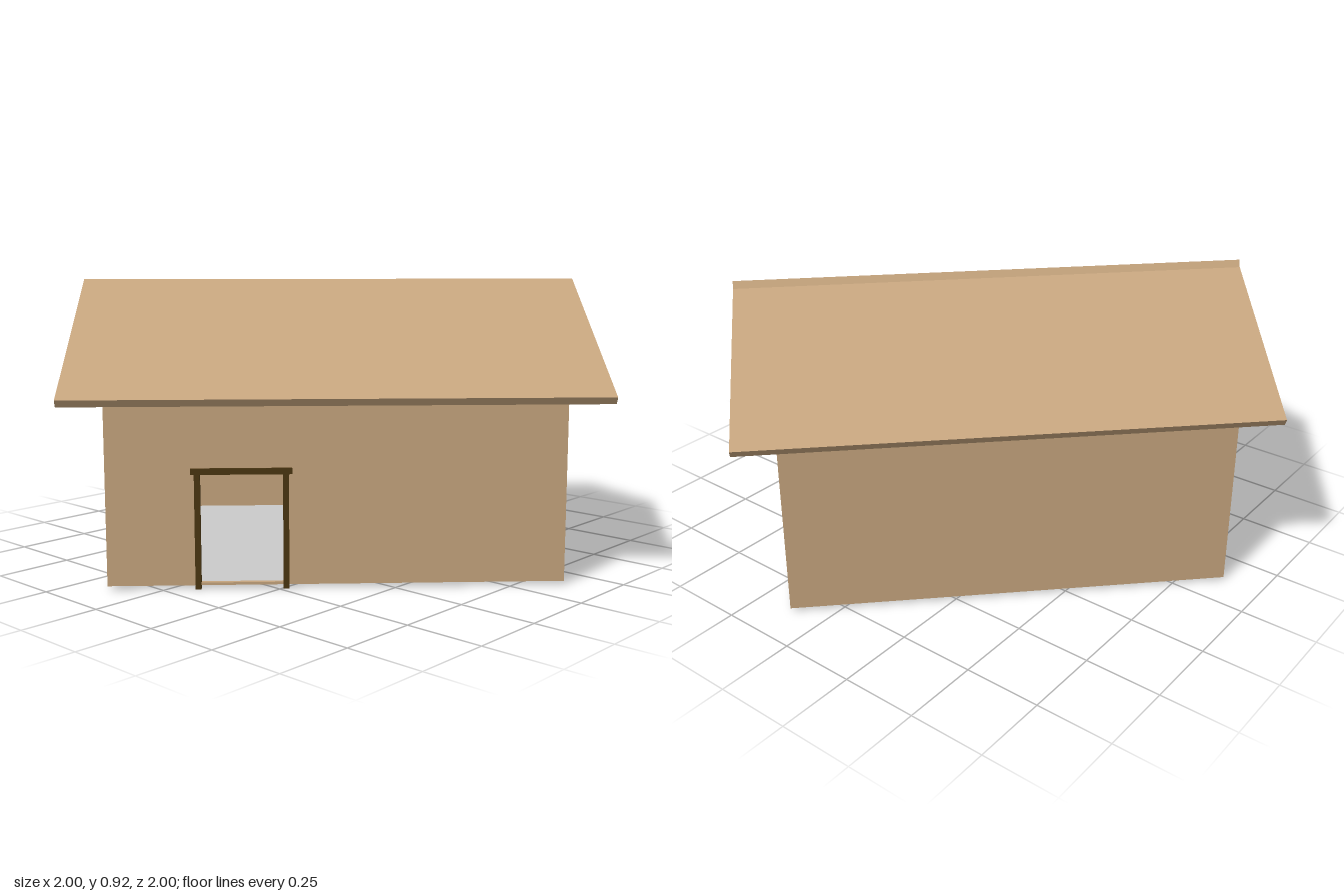
import * as THREE from 'three';

const tan = new THREE.MeshStandardMaterial({ color: 0xc6a57e });
const darkWood = new THREE.MeshStandardMaterial({ color: 0x4a3612 });
const grey = new THREE.MeshStandardMaterial({ color: 0xcccccc });

// House plan before turning: x runs along the ridge, +z is the door side
const HALF = 0.70, FRONT = 0.52, BACK = -0.534, BASE = 0.012, WALL = 0.015;
const EAVE_FRONT = 0.599, EAVE_BACK = 0.606, RIDGE = [-0.008, 0.883];

function rectPoints(x0, x1, y0, y1) {
  return [[x0, y0], [x1, y0], [x1, y1], [x0, y1]];
}

function toVectors(points) {
  return points.map(([x, y]) => new THREE.Vector2(x, y));
}

function slab(points, depth, hole) {
  const shape = new THREE.Shape(toVectors(points));
  if (hole) shape.holes.push(new THREE.Path(toVectors(hole)));
  return new THREE.ExtrudeGeometry(shape, { depth, bevelEnabled: false });
}

// Cross-section given as [z, y], swept along x from x0 to x1
function crossSlab(points, x0, x1, hole) {
  const flip = (list) => list.map(([z, y]) => [-z, y]);
  const geometry = slab(flip(points), x1 - x0, hole && flip(hole));
  return geometry.rotateY(Math.PI / 2).translate(x0, 0, 0);
}

function box(x0, x1, y0, y1, z0, z1) {
  return new THREE.BoxGeometry(x1 - x0, y1 - y0, z1 - z0)
    .translate((x0 + x1) / 2, (y0 + y1) / 2, (z0 + z1) / 2);
}

export function createModel() {
  const model = new THREE.Group();
  model.name = 'house';
  const house = new THREE.Group();
  house.name = 'turnedHouse';
  house.rotation.y = -Math.PI / 4;
  model.add(house);

  function add(name, geometry, material) {
    const mesh = new THREE.Mesh(geometry, material);
    mesh.name = name;
    house.add(mesh);
  }

  // Long walls, the front one with a doorway
  const doorway = rectPoints(-0.424, -0.156, 0.02, 0.36);
  add('frontWall', slab(rectPoints(-HALF, HALF, BASE, EAVE_FRONT), WALL, doorway)
    .translate(0, 0, FRONT - WALL), tan);
  add('backWall', box(-HALF, HALF, BASE, EAVE_BACK, BACK, BACK + WALL), tan);

  // Gable walls, one with a window
  const gable = [[FRONT, BASE], [FRONT, EAVE_FRONT], RIDGE, [BACK, EAVE_BACK], [BACK, BASE]];
  const windowHole = rectPoints(-0.219, -0.071, 0.23, 0.38);
  add('windowGable', crossSlab(gable, HALF - WALL, HALF, windowHole), tan);
  add('plainGable', crossSlab(gable, -HALF, -HALF + WALL), tan);
  add('windowPane', box(HALF - 0.012, HALF - 0.005, 0.23, 0.38, -0.219, -0.071), grey);

  // Floor
  add('floor', box(-HALF + 0.004, HALF - 0.004, BASE - 0.001, 0.02, BACK + 0.004, FRONT - 0.004), grey);

  // Roof panels, the front one lapping over the back one at the ridge
  add('frontRoof', crossSlab([[0.585, 0.592], [-0.022, 0.92], [-0.034, 0.898], [0.573, 0.57]], -0.83, 0.83), tan);
  add('backRoof', crossSlab([[-0.585, 0.607], [-0.573, 0.585], RIDGE, [-0.034, 0.898]], -0.83, 0.83), tan);

  // Door frame
  for (const x of [-0.424, -0.156]) {
    add('doorPost', box(x - 0.009, x + 0.009, 0, 0.36, 0.507, 0.525), darkWood);
  }
  add('doorLintel', box(-0.443, -0.137, 0.356, 0.375, 0.506, 0.527), darkWood);

  return model;
}
